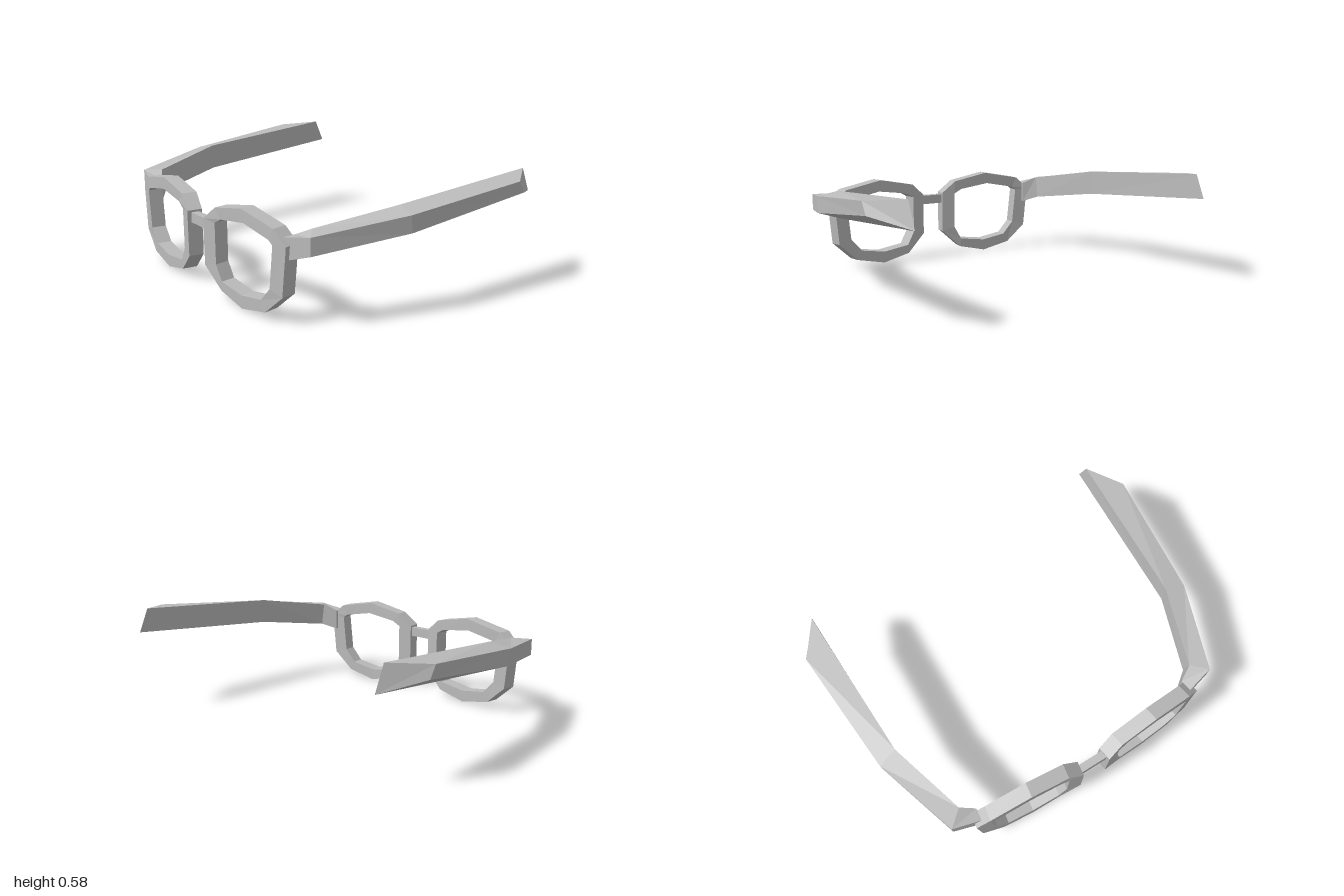
import * as THREE from 'three';

// Skin a series of four-cornered sections; side -1 mirrors across x.
function loft(rings, closed, side) {
  const pos = rings.flat().flatMap(([x, y, z]) => [x * side, y, z]);
  const index = [];
  const tri = (a, b, c) => (side > 0 ? index.push(a, b, c) : index.push(a, c, b));
  const n = rings.length;
  for (let i = 0; i < (closed ? n : n - 1); i++) {
    for (let j = 0; j < 4; j++) {
      const k = (j + 1) % 4, next = ((i + 1) % n) * 4;
      tri(i * 4 + j, i * 4 + k, next + k);
      tri(i * 4 + j, next + k, next + j);
    }
  }
  if (!closed) {
    const e = (n - 1) * 4;
    tri(0, 2, 1); tri(0, 3, 2);
    tri(e, e + 1, e + 2); tri(e, e + 2, e + 3);
  }
  const indexed = new THREE.BufferGeometry();
  indexed.setAttribute('position', new THREE.Float32BufferAttribute(pos, 3));
  indexed.setIndex(index);
  const geometry = indexed.toNonIndexed();
  geometry.computeVertexNormals();
  return geometry;
}

// Gentle wrap of the rims: depth of the front face at each x.
const wrap = [[0.08, 0.745], [0.17, 0.725], [0.38, 0.714], [0.6, 0.7], [0.69, 0.682]];
function frontZ(x) {
  let i = 0;
  while (i < wrap.length - 2 && x > wrap[i + 1][0]) i++;
  const [x0, z0] = wrap[i], [x1, z1] = wrap[i + 1];
  return z0 + (z1 - z0) * (x - x0) / (x1 - x0);
}

// Rim outlines, clockwise: outer x, outer y, inner x, inner y
const rim = [
  [0.08, 0.393, 0.158, 0.385], [0.163, 0.463, 0.207, 0.412],
  [0.38, 0.505, 0.393, 0.438], [0.612, 0.462, 0.58, 0.403],
  [0.688, 0.393, 0.607, 0.383], [0.664, 0.147, 0.584, 0.17],
  [0.547, 0.042, 0.517, 0.095], [0.368, 0.003, 0.366, 0.07],
  [0.197, 0.042, 0.202, 0.092], [0.08, 0.15, 0.158, 0.17],
];
const rimRings = rim.map(([ox, oy, ix, iy]) => {
  const zo = frontZ(ox), zi = frontZ(ix);
  return [[ox, oy, zo], [ix, iy, zi], [ix - 0.012, iy, zi - 0.078], [ox - 0.012, oy, zo - 0.078]];
});

// Temple sections: outer top, outer bottom, inner bottom, inner top
const templeRings = [
  [[0.64, 0.425, 0.668], [0.64, 0.312, 0.668], [0.64, 0.305, 0.598], [0.64, 0.425, 0.6]],
  [[0.797, 0.455, 0.63], [0.797, 0.367, 0.63], [0.715, 0.335, 0.538], [0.713, 0.462, 0.556]],
  [[0.946, 0.508, 0.175], [0.946, 0.422, 0.165], [0.842, 0.39, 0.14], [0.84, 0.53, 0.145]],
  [[1, 0.57, -0.505], [1, 0.508, -0.542], [0.87, 0.46, -0.746], [0.87, 0.588, -0.69]],
];

export function createModel() {
  const group = new THREE.Group();
  const frameGrey = new THREE.MeshStandardMaterial({ color: 0xbbbbbb });
  frameGrey.name = 'frame grey';
  frameGrey.flatShading = true;

  const add = (name, geometry) => {
    const mesh = new THREE.Mesh(geometry, frameGrey);
    mesh.name = name;
    group.add(mesh);
    return mesh;
  };

  // Rims and temples, mirrored
  for (const [label, side] of [['left', 1], ['right', -1]]) {
    add(label + 'Rim', loft(rimRings, true, side));
    add(label + 'Temple', loft(templeRings, false, side));
  }

  // Nose bridge
  add('bridge', new THREE.BoxGeometry(0.152, 0.053, 0.042)).position.set(0, 0.356, 0.704);

  return group;
}
